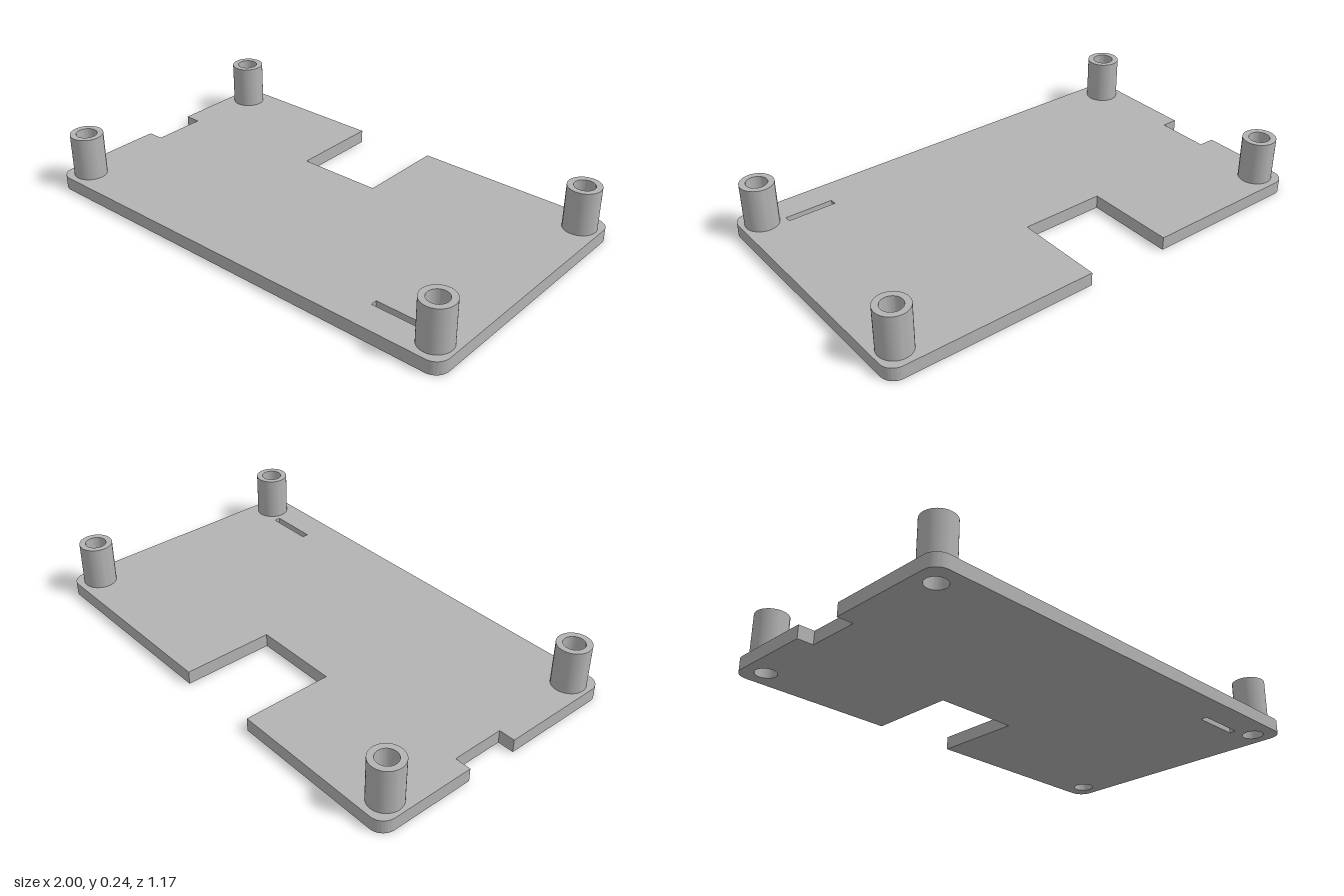
import * as THREE from 'three';
import { toCreasedNormals } from 'three/addons/utils/BufferGeometryUtils.js';

const HALF_DEPTH = 0.585, CORNER = 0.06, PLATE = 0.057, POST_TOP = 0.245;
const POST_X = 0.913, POST_Z = 0.489, POST_R = 0.07, BORE_R = 0.044;

// Extrude a plan-view shape (shape y = -z) upwards, keeping curves smooth and edges sharp
function extrudeUp(shape, height) {
  const geo = new THREE.ExtrudeGeometry(shape, { depth: height, bevelEnabled: false, curveSegments: 24 });
  geo.rotateX(-Math.PI / 2);
  return toCreasedNormals(geo, 0.6);
}

function circle(x, y, r) {
  return new THREE.Path().absarc(x, y, r, 0, Math.PI * 2, true);
}

export function createModel() {
  const model = new THREE.Group();
  model.name = 'mountingPlate';
  const grey = new THREE.MeshStandardMaterial({ color: 0xb3b3b3 });
  grey.name = 'grey';

  // Plate outline: rounded corners, a deep back notch and a small right-side notch
  const d = HALF_DEPTH, r = CORNER, q = Math.PI / 2;
  const outline = new THREE.Shape();
  outline.moveTo(-1 + r, -d);
  outline.absarc(1 - r, -d + r, r, -q, 0);
  outline.absarc(1 - r, d - r, r, 0, q);
  outline.lineTo(0.1, d);
  outline.lineTo(0.1, 0.195);
  outline.lineTo(-0.273, 0.195);
  outline.lineTo(-0.273, d);
  outline.absarc(-1 + r, d - r, r, q, 2 * q);
  outline.lineTo(-1, 0.16);
  outline.lineTo(-0.93, 0.16);
  outline.lineTo(-0.93, -0.073);
  outline.lineTo(-1, -0.073);
  outline.absarc(-1 + r, -d + r, r, 2 * q, 3 * q);

  // Narrow slot near the front left corner
  outline.holes.push(new THREE.Path([
    [0.613, -0.46], [0.613, -0.432], [0.823, -0.432], [0.823, -0.46], [0.613, -0.46],
  ].map(([x, y]) => new THREE.Vector2(x, y))));

  // Hollow corner posts, bored through the plate
  const ring = new THREE.Shape().absarc(0, 0, POST_R, 0, Math.PI * 2);
  ring.holes.push(circle(0, 0, BORE_R));
  const postGeo = extrudeUp(ring, POST_TOP - PLATE);
  for (const sx of [-1, 1]) {
    for (const sz of [-1, 1]) {
      outline.holes.push(circle(sx * POST_X, -sz * POST_Z, BORE_R));
      const post = new THREE.Mesh(postGeo, grey);
      post.name = (sz > 0 ? 'front' : 'back') + (sx > 0 ? 'Left' : 'Right') + 'Post';
      post.position.set(sx * POST_X, PLATE, sz * POST_Z);
      model.add(post);
    }
  }

  const plate = new THREE.Mesh(extrudeUp(outline, PLATE), grey);
  plate.name = 'basePlate';
  model.add(plate);
  return model;
}
